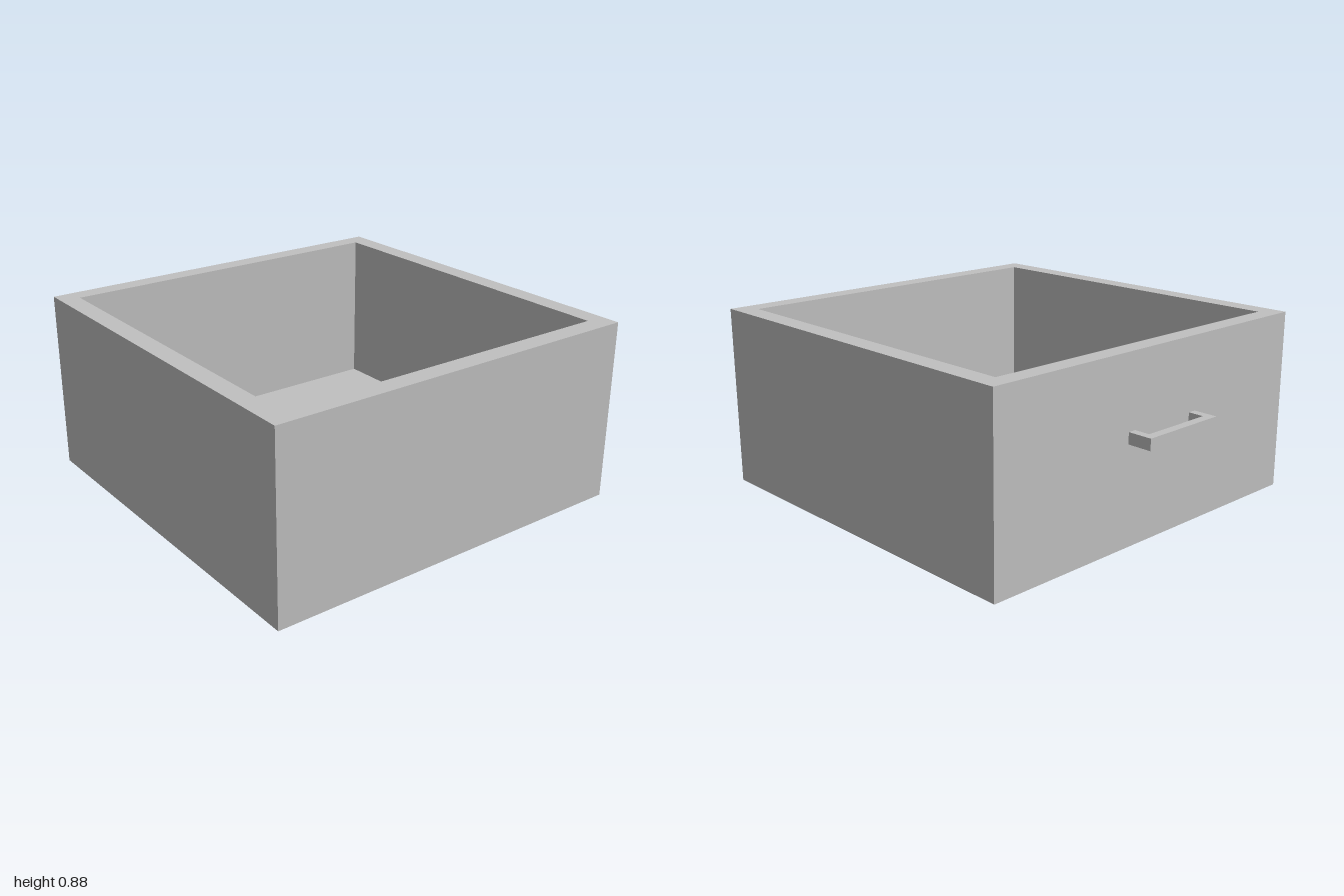
import * as THREE from 'three';

const grey = new THREE.MeshStandardMaterial({ color: 0xc0c0c0 });
grey.name = 'plain grey';

// Rectangle corners as points, in plan (shape y becomes -z)
const corners = (pts) => pts.map(([x, z]) => new THREE.Vector2(x, -z));
const rect = (x0, x1, z0, z1) => corners([[x0, z0], [x0, z1], [x1, z1], [x1, z0]]);

// Extrude a plan outline upwards from y0 to y1
function slab(name, outline, y0, y1, hole) {
  const shape = new THREE.Shape(outline);
  if (hole) shape.holes.push(new THREE.Path(hole));
  const geometry = new THREE.ExtrudeGeometry(shape, { depth: y1 - y0, bevelEnabled: false });
  geometry.rotateX(-Math.PI / 2).translate(0, y0, 0);
  const mesh = new THREE.Mesh(geometry, grey);
  mesh.name = name;
  return mesh;
}

export function createModel() {
  const model = new THREE.Group();
  model.name = 'drawer';

  // Four walls in one ring, open at the top
  const inside = rect(-0.79, 0.905, -0.85, 0.85);
  model.add(slab('walls', rect(-0.88, 1, -0.945, 0.945), 0, 0.88, inside));

  // Floor panel set between the walls
  model.add(slab('floor', inside, 0, 0.11));

  // U-shaped pull handle on the -x wall
  const grip = corners([
    [-0.88, -0.175], [-1, -0.175], [-1, 0.27], [-0.88, 0.27],
    [-0.88, 0.23], [-0.957, 0.23], [-0.957, -0.135], [-0.88, -0.135],
  ]);
  model.add(slab('handle', grip, 0.475, 0.53));

  return model;
}
